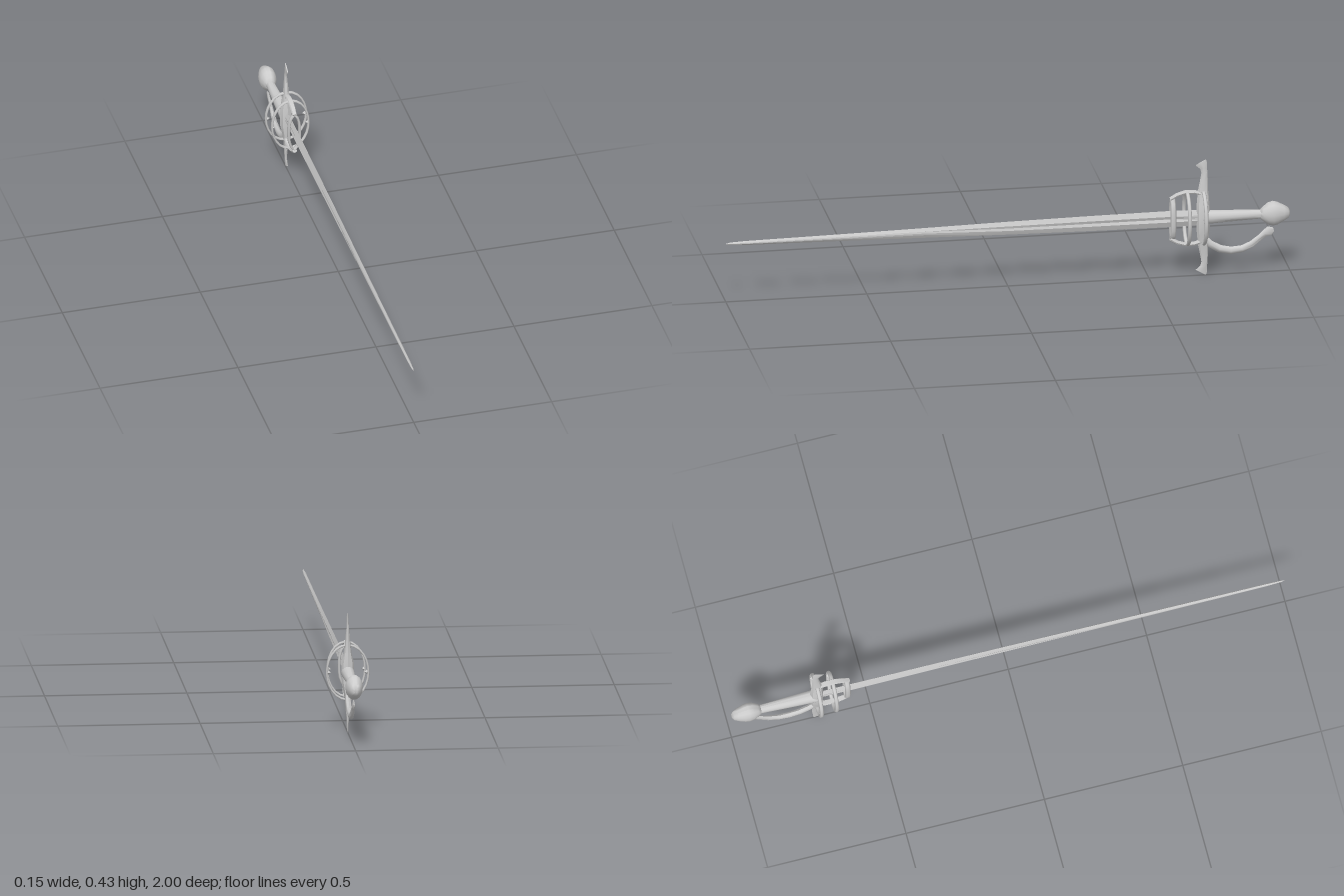
import * as THREE from 'three';
import { toCreasedNormals } from 'three/addons/utils/BufferGeometryUtils.js';

const AXIS = 0.207; // height of the blade axis
const GUARD_Z = -0.692;
const material = new THREE.MeshStandardMaterial({ color: 0xcccccc });

const ellipse = (n) => () => Array.from({ length: n }, (_, i) => {
  const a = (i / n) * Math.PI * 2;
  return [Math.cos(a), Math.sin(a)];
});

// Sweeps a cross-section along stations [z, y, halfWidthX, halfHeight, extra] in the x = 0 plane.
function sweep(stations, section, crease = 0.7) {
  const pos = [], idx = [];
  const n = section(0).length;
  stations.forEach(([z, y, w, h, extra = 0], i) => {
    const a = stations[Math.max(i - 1, 0)], b = stations[Math.min(i + 1, stations.length - 1)];
    const len = Math.hypot(b[0] - a[0], b[1] - a[1]);
    const tz = (b[0] - a[0]) / len, ty = (b[1] - a[1]) / len;
    for (const [u, v] of section(extra)) pos.push(u * w, y + v * h * tz, z - v * h * ty);
    if (i === 0) return;
    for (let j = 0; j < n; j++) {
      const p = (i - 1) * n + j, q = (i - 1) * n + (j + 1) % n;
      idx.push(p, q, q + n, p, q + n, p + n);
    }
  });
  // end caps
  [0, stations.length - 1].forEach((s, end) => {
    const c = pos.length / 3;
    pos.push(0, stations[s][1], stations[s][0]);
    for (let j = 0; j < n; j++) {
      const p = s * n + j, q = s * n + (j + 1) % n;
      idx.push(c, ...(end ? [p, q] : [q, p]));
    }
  });
  const g = new THREE.BufferGeometry();
  g.setAttribute('position', new THREE.Float32BufferAttribute(pos, 3));
  g.setIndex(idx);
  return toCreasedNormals(g, crease);
}

// Diamond blade section; groove 1 gives a full fuller, 0 a plain diamond.
const bladeSection = (groove) => {
  const m = 1 - 0.6 * groove;
  return [[m, 0], [0.85, 0.35], [0, 1], [-0.85, 0.35], [-m, 0], [-0.85, -0.35], [0, -1], [0.85, -0.35]];
};

// Faceted oval ring facing along z
function ring(rx, ry, z, r, depth, segments) {
  const pts = Array.from({ length: segments }, (_, i) => {
    const a = (i / segments) * Math.PI * 2;
    return new THREE.Vector3(Math.cos(a) * rx, Math.sin(a) * ry, 0);
  });
  const g = new THREE.TubeGeometry(new THREE.CatmullRomCurve3(pts, true), segments * 2, r, 6, true);
  g.scale(1, 1, depth / r);
  g.translate(0, AXIS, z);
  return g;
}

export function createModel() {
  const group = new THREE.Group();
  const add = (name, geometry) => {
    const mesh = new THREE.Mesh(geometry, material);
    mesh.name = name;
    group.add(mesh);
    return mesh;
  };

  // Blade with fullers that fade out toward the point
  add('blade', sweep([
    [-0.69, AXIS, 0.009, 0.028, 0.3], [-0.58, AXIS, 0.009, 0.03, 1], [-0.3, AXIS, 0.008, 0.028, 1],
    [0, AXIS, 0.0075, 0.024, 0.7], [0.3, AXIS, 0.007, 0.018, 0], [0.6, AXIS, 0.006, 0.0125, 0],
    [0.93, AXIS, 0.005, 0.0075, 0], [0.985, AXIS, 0.003, 0.005, 0], [1, AXIS, 0.0005, 0.001, 0],
  ], bladeSection, 0.25));

  add('grip', sweep([
    [-0.91, AXIS, 0.015, 0.016], [-0.87, AXIS, 0.016, 0.017], [-0.78, AXIS, 0.02, 0.021],
    [-0.72, AXIS, 0.022, 0.024], [-0.69, AXIS, 0.023, 0.025],
  ], ellipse(14)));

  // Flattened pear-shaped pommel
  add('pommel', sweep([
    [-1, AXIS, 0.006, 0.008], [-0.993, AXIS, 0.015, 0.02], [-0.978, AXIS, 0.022, 0.029],
    [-0.955, AXIS, 0.029, 0.041], [-0.94, AXIS, 0.031, 0.045], [-0.922, AXIS, 0.029, 0.04],
    [-0.904, AXIS, 0.021, 0.026], [-0.894, AXIS, 0.015, 0.016],
  ], ellipse(14), 1));

  // Cross guard, its fishtail ends curling forward
  const halfGuard = [
    [GUARD_Z, 0.035, 0.022, 0.024], [GUARD_Z, 0.07, 0.014, 0.021], [GUARD_Z, 0.1, 0.01, 0.018],
    [-0.695, 0.135, 0.007, 0.014], [-0.697, 0.165, 0.0045, 0.011], [-0.694, 0.182, 0.0035, 0.012],
    [-0.688, 0.197, 0.003, 0.019], [-0.684, 0.204, 0.002, 0.021],
  ];
  const guard = [
    ...halfGuard.map(([z, d, w, h]) => [z, AXIS - d, w, h]).reverse(),
    ...halfGuard.map(([z, d, w, h]) => [z, AXIS + d, w, h]),
  ];
  add('crossGuard', sweep(guard, ellipse(8), 0.6));

  // Knuckle bow curving back below the grip
  add('knuckleBow', sweep([
    [-0.69, 0.135, 0.009, 0.012], [-0.715, 0.108, 0.01, 0.013], [-0.75, 0.087, 0.01, 0.014],
    [-0.79, 0.078, 0.01, 0.014], [-0.83, 0.082, 0.009, 0.013], [-0.865, 0.098, 0.008, 0.012],
    [-0.892, 0.119, 0.006, 0.011], [-0.91, 0.134, 0.005, 0.013], [-0.928, 0.143, 0.004, 0.018],
    [-0.942, 0.147, 0.002, 0.008],
  ], ellipse(8), 0.8));

  // Upper and lower arms carrying the rings
  for (const s of [1, -1]) {
    add(s > 0 ? 'upperArm' : 'lowerArm', sweep([
      [-0.7, AXIS + s * 0.084, 0.01, 0.008], [-0.66, AXIS + s * 0.096, 0.01, 0.007],
      [-0.63, AXIS + s * 0.097, 0.01, 0.007], [-0.6, AXIS + s * 0.088, 0.009, 0.007],
      [-0.576, AXIS + s * 0.074, 0.008, 0.007],
    ], ellipse(8)));
  }

  // Guard rings
  add('rearRing', ring(0.073, 0.098, GUARD_Z, 0.004, 0.007, 12));
  add('middleRing', ring(0.066, 0.098, -0.635, 0.004, 0.007, 12));
  add('frontRing', ring(0.02, 0.073, -0.584, 0.005, 0.01, 8));

  // Small pointed studs on the sides of the rings
  for (const s of [1, -1]) {
    for (const [x, z] of [[0.067, GUARD_Z], [0.062, -0.635]]) {
      const stud = add('ringStud', new THREE.OctahedronGeometry(0.008));
      stud.position.set(s * x, AXIS, z);
    }
  }
  return group;
}
